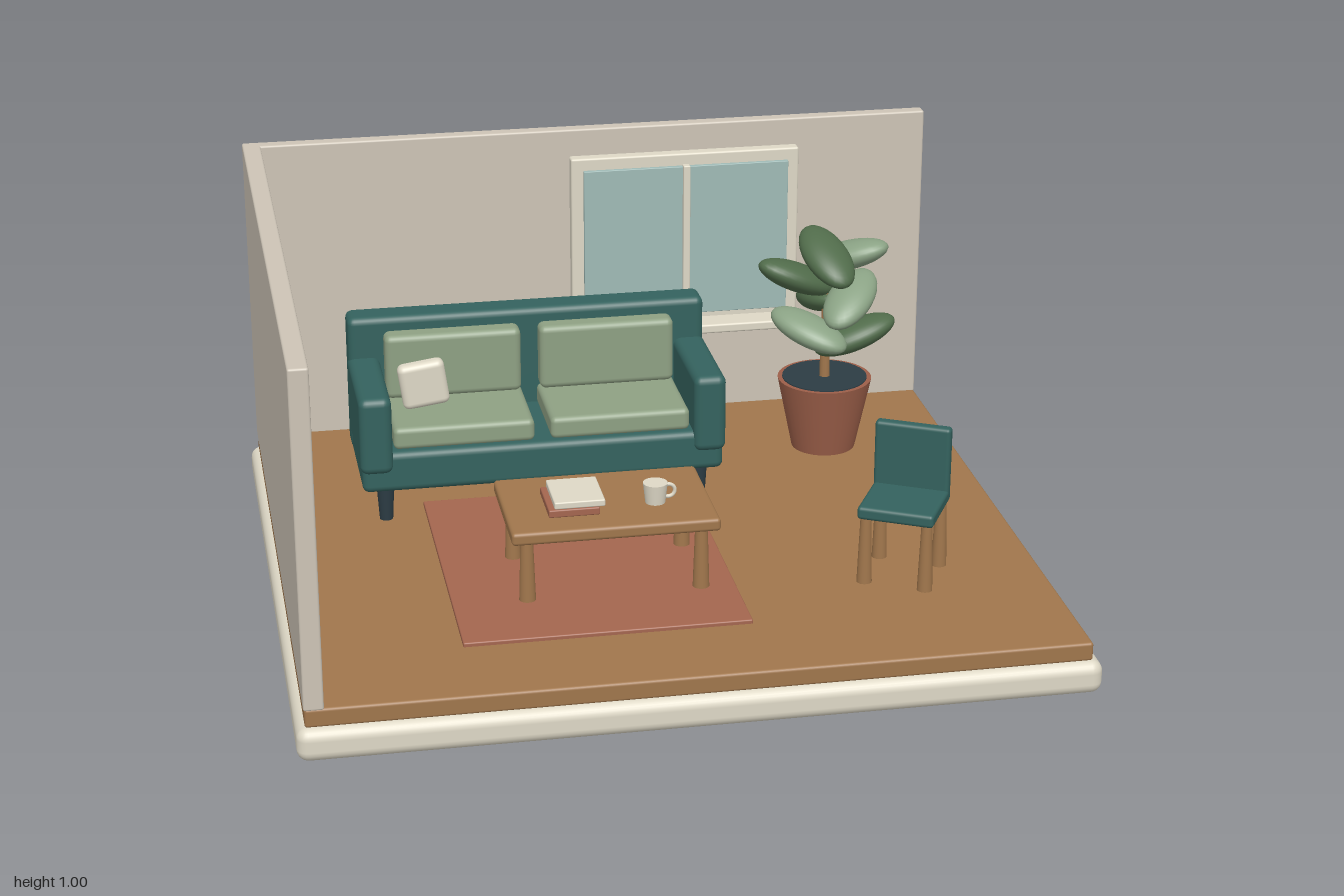
import * as THREE from 'three';
import { RoundedBoxGeometry } from 'three/addons/geometries/RoundedBoxGeometry.js';

const mat = (color) => new THREE.MeshStandardMaterial({ color });
const M = {
  cream: mat(0xded8c6), wall: mat(0xcdc4b6), wood: mat(0xa0764c), teal: mat(0x34625e),
  sage: mat(0x8ea083), rug: mat(0xa4664f), glass: mat(0x9fbab6), dark: mat(0x2c3c44),
  pot: mat(0x9c5f49), leafDark: mat(0x506b4a), leafLight: mat(0x8aa284),
};

function add(parent, name, geometry, material, x = 0, y = 0, z = 0) {
  const mesh = new THREE.Mesh(geometry, material);
  mesh.name = name;
  mesh.position.set(x, y, z);
  parent.add(mesh);
  return mesh;
}

// Rounded box given by its [min, max] range on each axis
function block(parent, name, material, [x0, x1], [y0, y1], [z0, z1], r = 0.006) {
  const g = new RoundedBoxGeometry(x1 - x0, y1 - y0, z1 - z0, 3, r);
  return add(parent, name, g, material, (x0 + x1) / 2, (y0 + y1) / 2, (z0 + z1) / 2);
}

// Four round legs, one at each corner
function legs(parent, name, material, xs, zs, y0, y1, rTop, rBottom) {
  for (const x of xs) for (const z of zs) {
    add(parent, name, new THREE.CylinderGeometry(rTop, rBottom, y1 - y0, 20), material, x, (y0 + y1) / 2, z);
  }
}

function group(parent, name, x = 0, y = 0, z = 0) {
  const g = new THREE.Group();
  g.name = name;
  g.position.set(x, y, z);
  parent.add(g);
  return g;
}

const FLOOR = 0.135;

function buildRoom(root) {
  const room = group(root, 'room');
  block(room, 'plinth', M.cream, [-1, 1], [0, 0.088], [-0.89, 0.89], 0.03);
  block(room, 'floor', M.wood, [-0.978, 0.975], [0.085, FLOOR], [-0.868, 0.866], 0.008);
  block(room, 'leftWall', M.wall, [-0.98, -0.93], [0.13, 1.003], [-0.876, 0.866]);
  block(room, 'backWall', M.wall, [-0.98, 0.975], [0.13, 1.003], [-0.877, -0.836]);
  block(room, 'rug', M.rug, [-0.565, 0.167], [0.13, 0.146], [-0.265, 0.608], 0.004);
}

function buildWindow(root) {
  const win = group(root, 'window');
  block(win, 'windowFrame', M.cream, [-0.063, 0.598], [0.405, 0.925], [-0.84, -0.802]);
  block(win, 'windowPane', M.glass, [-0.028, 0.565], [0.444, 0.89], [-0.806, -0.79], 0.002);
  block(win, 'windowBar', M.cream, [0.257, 0.277], [0.444, 0.895], [-0.8, -0.776], 0.003);
  block(win, 'windowSill', M.cream, [-0.067, 0.6], [0.4, 0.427], [-0.84, -0.728]);
}

function buildSofa(root) {
  const cx = -0.243;
  const sofa = group(root, 'sofa', cx);
  block(sofa, 'sofaBase', M.teal, [-0.493, 0.493], [0.224, 0.338], [-0.545, -0.16], 0.02);
  block(sofa, 'sofaBack', M.teal, [-0.495, 0.495], [0.228, 0.615], [-0.55, -0.457], 0.02);
  for (const s of [-1, 1]) {
    const span = (a, b) => (s > 0 ? [a, b] : [-b, -a]);
    block(sofa, 'sofaArm', M.teal, span(0.41, 0.498), [0.282, 0.5], [-0.5, -0.145], 0.022);
    block(sofa, 'seatCushion', M.sage, span(0.022, 0.404), [0.334, 0.397], [-0.46, -0.184], 0.016);
    block(sofa, 'backCushion', M.sage, span(0.026, 0.4), [0.395, 0.578], [-0.465, -0.4], 0.018);
  }
  legs(sofa, 'sofaLeg', M.dark, [-0.43, 0.43], [-0.497, -0.197], FLOOR, 0.235, 0.024, 0.018);
  // Throw pillow leaning on the left seat
  const pillow = add(sofa, 'throwPillow', new RoundedBoxGeometry(0.128, 0.128, 0.046, 4, 0.018), M.cream,
    -0.548 - cx, 0.463, -0.338);
  pillow.rotation.z = 0.14;
}

function buildTable(root) {
  const table = group(root, 'coffeeTable', -0.148, 0, 0.26);
  block(table, 'tableTop', M.wood, [-0.268, 0.268], [0.315, 0.35], [-0.175, 0.175], 0.01);
  legs(table, 'tableLeg', M.wood, [-0.225, 0.225], [-0.13, 0.13], FLOOR, 0.32, 0.016, 0.022);
  block(table, 'lowerBook', M.rug, [-0.162, -0.03], [0.35, 0.371], [-0.06, 0.095], 0.004);
  block(table, 'upperBook', M.cream, [-0.147, -0.016], [0.371, 0.39], [-0.06, 0.092], 0.004);
  add(table, 'mug', new THREE.CylinderGeometry(0.032, 0.026, 0.054, 28), M.cream, 0.122, 0.377, 0.04);
  add(table, 'mugHandle', new THREE.TorusGeometry(0.017, 0.005, 10, 24), M.cream, 0.156, 0.38, 0.04);
}

function buildChair(root) {
  const chair = group(root, 'chair', 0.61, 0, 0.387);
  chair.rotation.y = -0.5;
  block(chair, 'chairSeat', M.teal, [-0.1, 0.1], [0.315, 0.35], [-0.1, 0.1], 0.01);
  block(chair, 'chairBack', M.teal, [-0.1, 0.1], [0.325, 0.522], [-0.1, -0.068], 0.01);
  legs(chair, 'chairLeg', M.wood, [-0.08, 0.08], [-0.08, 0.08], FLOOR, 0.32, 0.014, 0.02);
}

function buildPlant(root) {
  const plant = group(root, 'pottedPlant', 0.61, 0, -0.487);
  add(plant, 'pot', new THREE.CylinderGeometry(0.133, 0.09, 0.207, 36), M.pot, 0, 0.2385, 0);
  add(plant, 'soil', new THREE.CylinderGeometry(0.12, 0.12, 0.01, 36), M.dark, 0, 0.34, 0);
  add(plant, 'stem', new THREE.CylinderGeometry(0.011, 0.015, 0.38, 12), M.wood, 0, 0.53, 0);
  // Leaves climb the stem in a golden-angle spiral
  const tilts = [0.36, 0.3, 0.23, 0.42, 0.41, 0.33, 0.45];
  tilts.forEach((tilt, i) => {
    const a = THREE.MathUtils.degToRad(137.5 * i);
    const leaf = add(plant, 'leaf', new THREE.SphereGeometry(1, 28, 18), i % 2 ? M.leafLight : M.leafDark,
      0.085 * Math.cos(a), 0.463 + 0.0447 * i, 0.085 * Math.sin(a));
    leaf.scale.set(0.122, 0.04, 0.066);
    leaf.rotation.set(0, a, tilt, 'YXZ');
  });
}

export function createModel() {
  const root = new THREE.Group();
  root.name = 'livingRoom';
  buildRoom(root);
  buildWindow(root);
  buildSofa(root);
  buildTable(root);
  buildChair(root);
  buildPlant(root);
  return root;
}
